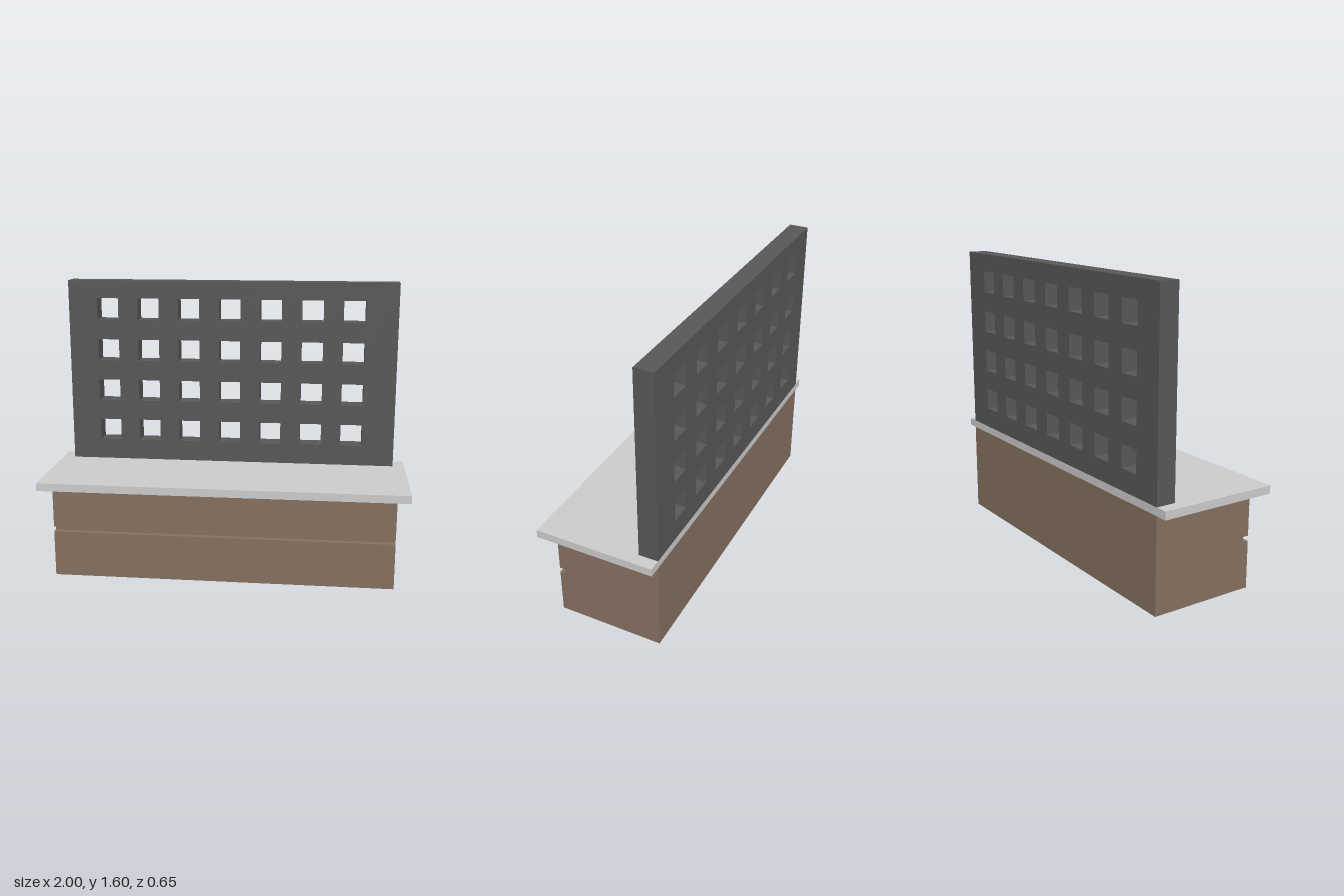
import * as THREE from 'three';

const BACK = -0.327;      // shared rear plane
const WIDTH = 1.868;      // base and panel width
const SLAB_Y = 0.51, SLAB_TOP = 0.553;

function part(name, geometry, color) {
  const material = new THREE.MeshStandardMaterial({ color });
  const mesh = new THREE.Mesh(geometry, material);
  mesh.name = name;
  return mesh;
}

function polygon(points, Type = THREE.Shape) {
  return new Type(points.map(([x, y]) => new THREE.Vector2(x, y)));
}

function rect(x0, y0, x1, y1, Type) {
  return polygon([[x0, y0], [x1, y0], [x1, y1], [x0, y1]], Type);
}

// Base block: side profile (z, y) with a groove in the front, swept along x
function createBase() {
  const front = 0.253, groove = 0.22;
  const profile = polygon([
    [BACK, 0], [front, 0], [front, 0.254], [groove, 0.254],
    [groove, 0.282], [front, 0.282], [front, SLAB_Y], [BACK, SLAB_Y],
  ]);
  const geometry = new THREE.ExtrudeGeometry(profile, { depth: WIDTH, bevelEnabled: false });
  geometry.rotateY(-Math.PI / 2).translate(WIDTH / 2, 0, 0);
  return part('base', geometry, 0x857060);
}

// Overhanging top slab, flush at the back
function createSlab() {
  const geometry = new THREE.BoxGeometry(2, SLAB_TOP - SLAB_Y, -2 * BACK);
  geometry.translate(0, (SLAB_Y + SLAB_TOP) / 2, 0);
  return part('topSlab', geometry, 0xcccccc);
}

// Upright panel pierced by a 7 x 4 grid of square holes
function createPanel() {
  const hole = 0.122, pitchX = 0.2335, pitchY = 0.2353;
  const shape = rect(-WIDTH / 2, SLAB_TOP, WIDTH / 2, 1.595);
  for (let row = 0; row < 4; row++) {
    for (let col = 0; col < 7; col++) {
      const x = -0.77 + col * pitchX;
      const y = 0.668 + row * pitchY;
      shape.holes.push(rect(x, y, x + hole, y + hole, THREE.Path));
    }
  }
  const geometry = new THREE.ExtrudeGeometry(shape, { depth: 0.106, bevelEnabled: false });
  geometry.translate(0, 0, BACK);
  return part('latticePanel', geometry, 0x575757);
}

export function createModel() {
  const group = new THREE.Group();
  group.name = 'counterWithLattice';
  group.add(createBase(), createSlab(), createPanel());
  return group;
}
